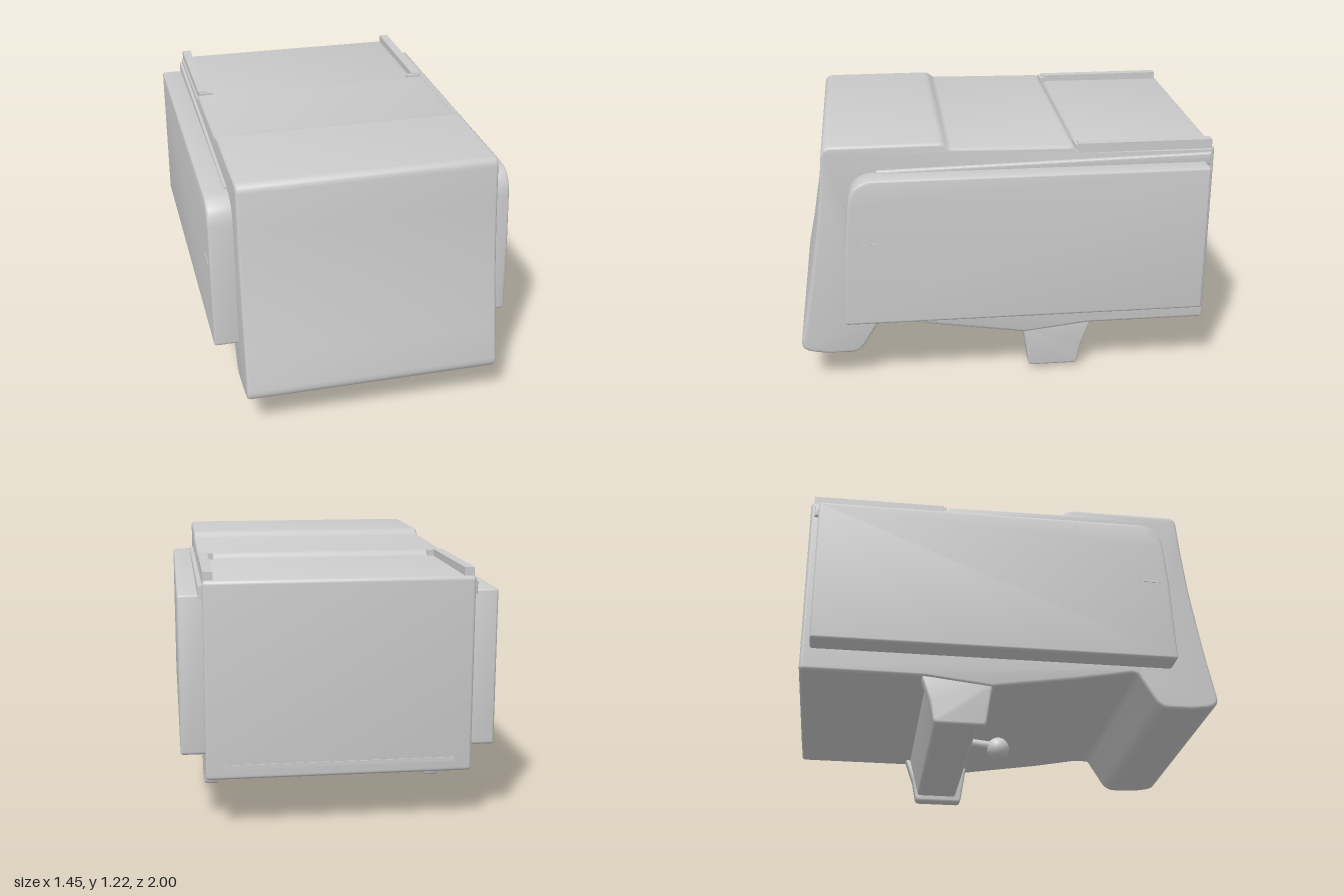
import * as THREE from 'three';
import { toCreasedNormals } from 'three/addons/utils/BufferGeometryUtils.js';

const material = new THREE.MeshStandardMaterial({ color: 0xcccccc });

function add(group, name, geometry, x = 0, y = 0, z = 0) {
  const mesh = new THREE.Mesh(geometry, material);
  mesh.name = name;
  mesh.position.set(x, y, z);
  group.add(mesh);
  return mesh;
}

// Side profile given as [z, y] points; corners are rounded by an optional radius
function sideShape(points) {
  const shape = new THREE.Shape();
  const v = points.map(([z, y]) => new THREE.Vector2(-z, y));
  v.forEach((p, i) => {
    const r = points[i][2] || 0;
    const toward = (q) => q.clone().sub(p).setLength(r).add(p);
    const a = r ? toward(v[(i + v.length - 1) % v.length]) : p;
    const b = r ? toward(v[(i + 1) % v.length]) : p;
    if (i === 0) shape.moveTo(a.x, a.y);
    else shape.lineTo(a.x, a.y);
    if (r) shape.quadraticCurveTo(p.x, p.y, b.x, b.y);
  });
  shape.closePath();
  return shape;
}

// Extrudes a side profile across x with softened edges
function slab(points, x0, x1, bevel) {
  const g = new THREE.ExtrudeGeometry(sideShape(points), {
    depth: x1 - x0 - 2 * bevel, bevelEnabled: bevel > 0, bevelThickness: bevel,
    bevelSize: bevel, bevelOffset: -bevel, bevelSegments: 3, curveSegments: 5,
  });
  g.translate(0, 0, x0 + bevel);
  g.rotateY(Math.PI / 2);
  return toCreasedNormals(g, 0.6);
}

export function createModel() {
  const model = new THREE.Group();

  // Main housing with leaning front, raised brow, sunken rear deck and front lip
  add(model, 'housing', slab([
    [1.0, 0.18, 0.05], [0.955, 0.4], [0.92, 0.6], [0.888, 0.8], [0.865, 1.0],
    [0.845, 1.22, 0.04], [0.29, 1.22, 0.02], [0.26, 1.193, 0.02],
    [-0.32, 1.185, 0.015], [-0.345, 1.16, 0.015], [-1.0, 1.155, 0.02],
    [-1.0, 0.25, 0.02], [-0.42, 0.25], [-0.1, 0.215], [0.3, 0.275],
    [0.6, 0.33, 0.03], [0.71, 0.15, 0.05], [0.9, 0.155, 0.05],
  ], -0.612, 0.605, 0.015));

  // Foot: cross bar between two deeper end plates
  add(model, 'footBar', slab([
    [-0.14, 0.26], [-0.155, 0.05, 0.015], [-0.36, 0.05, 0.015], [-0.41, 0.26],
  ], -0.57, 0.57, 0));
  for (const s of [-1, 1]) {
    add(model, 'footPlate', slab([
      [-0.08, 0.26], [-0.1, 0.2], [-0.127, 0.02, 0.02], [-0.37, 0.02, 0.02],
      [-0.39, 0.13], [-0.435, 0.26],
    ], s < 0 ? -0.605 : 0.525, s < 0 ? -0.535 : 0.595, 0.012));
  }

  for (const s of [-1, 1]) {
    // Side panel with rounded front top corner
    const outer = s < 0 ? 0.727 : 0.715;
    const panel = [
      [0.775, 0.36, 0.015], [0.757, 0.75], [0.725, 1.09, 0.12],
      [-0.958, 1.088, 0.015], [-0.958, 0.36, 0.015],
    ];
    add(model, 'sidePanel', slab(panel, s < 0 ? -outer : 0.59, s < 0 ? -0.59 : outer, 0.012));

    // Small latch ridge on the panel
    add(model, 'latchRidge', new THREE.BoxGeometry(0.006, 0.01, 0.1), s * outer, 0.77, 0.66);

    // Sloped shoulder between housing and panel
    add(model, 'shoulder', slab([
      [0.6, 1.07], [0.6, 1.1], [-0.98, 1.13], [-0.98, 1.07],
    ], s < 0 ? -0.625 : 0.58, s < 0 ? -0.58 : 0.625, 0.008));

    // Deck rail with short inward toe at its front
    add(model, 'deckRail', new THREE.BoxGeometry(0.045, 0.045, 0.64), s * 0.582, 1.17, -0.665);
    add(model, 'railToe', new THREE.BoxGeometry(0.07, 0.035, 0.03), s * 0.565, 1.17, -0.345);
  }

  // Low ledge along the back
  add(model, 'backLedge', new THREE.BoxGeometry(1.06, 0.02, 0.012), 0, 0.31, -0.998);

  // Ball on a short stem ahead of the foot
  add(model, 'ball', new THREE.SphereGeometry(0.055, 24, 16), -0.215, 0.058, -0.02);
  const stem = add(model, 'ballStem', new THREE.CylinderGeometry(0.022, 0.022, 0.12, 12), -0.215, 0.075, -0.1);
  stem.rotation.x = Math.PI / 2 + 0.1;

  return model;
}
